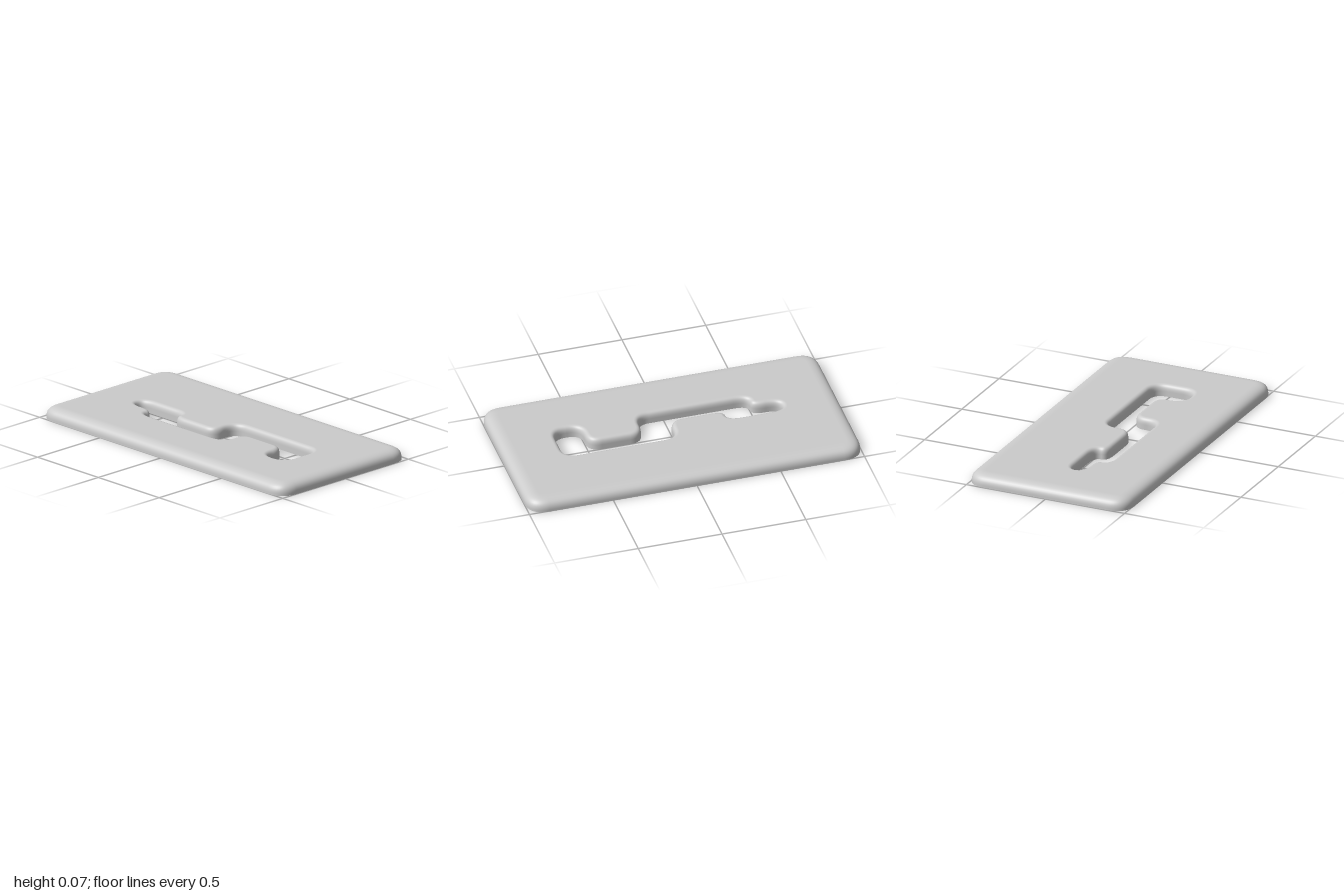
import * as THREE from 'three';

const HEIGHT = 0.07;

// Rounds the corners of a polygon; returns points with unit tangents (plate material lies to the left).
function roundedLoop(corners, trim, steps = 10) {
  const pts = corners.map(([x, z]) => new THREE.Vector2(x, -z));
  const loop = [];
  pts.forEach((p, i) => {
    const prev = pts[(i + pts.length - 1) % pts.length];
    const next = pts[(i + 1) % pts.length];
    const a = p.clone().sub(prev), b = next.clone().sub(p);
    a.setLength(Math.min(trim, a.length() / 2));
    b.setLength(Math.min(trim, b.length() / 2));
    const curve = new THREE.QuadraticBezierCurve(p.clone().sub(a), p, p.clone().add(b));
    for (let k = 0; k <= steps; k++) {
      const t = k / steps;
      loop.push({ pos: curve.getPoint(t), tan: a.clone().lerp(b, t).normalize() });
    }
  });
  return loop;
}

const inset = (loop, d) =>
  loop.map(({ pos, tan }) => new THREE.Vector2(pos.x - tan.y * d, pos.y + tan.x * d));

// Wall standing on the loop, rolling smoothly over into the top face.
function wallGeometry(loop, roll, rollStart) {
  const profile = [[0, 0, 1, 0]]; // inset, height, outward normal, upward normal
  const rows = 10, rise = HEIGHT - rollStart;
  for (let k = 0; k <= rows; k++) {
    const t = k / rows;
    const n = new THREE.Vector2((1 - t) * rise, t * roll).normalize();
    profile.push([roll * t * t, rollStart + rise * (1 - (1 - t) ** 2), n.x, n.y]);
  }
  const pos = [], nor = [], idx = [], count = loop.length;
  for (const [d, h, out, up] of profile) {
    inset(loop, d).forEach((p, i) => {
      const { tan } = loop[i];
      pos.push(p.x, p.y, h);
      nor.push(tan.y * out, -tan.x * out, up);
    });
  }
  for (let j = 0; j < profile.length - 1; j++) {
    for (let i = 0; i < count; i++) {
      const a = j * count + i, b = j * count + (i + 1) % count;
      idx.push(a, b, b + count, a, b + count, a + count);
    }
  }
  const g = new THREE.BufferGeometry();
  g.setAttribute('position', new THREE.Float32BufferAttribute(pos, 3));
  g.setAttribute('normal', new THREE.Float32BufferAttribute(nor, 3));
  g.setIndex(idx);
  return g.rotateX(-Math.PI / 2);
}

export function createModel() {
  const group = new THREE.Group();
  group.name = 'slottedPlate';
  const material = new THREE.MeshStandardMaterial({ color: 0xcccccc, side: THREE.DoubleSide });
  const add = (name, geometry) => {
    const mesh = new THREE.Mesh(geometry, material);
    mesh.name = name;
    group.add(mesh);
  };

  // Corners as [x, z]
  const rim = roundedLoop([[-1, 0.505], [1, 0.505], [1, -0.505], [-1, -0.505]], 0.12);
  const slot = roundedLoop([
    [-0.667, -0.005], [-0.333, -0.005], [-0.333, 0.08], [-0.003, 0.08],
    [-0.003, -0.093], [0.667, -0.093], [0.667, 0.167], [0.497, 0.167],
    [0.497, 0], [0.167, 0], [0.167, 0.167], [-0.5, 0.167],
    [-0.5, 0.08], [-0.667, 0.08],
  ], 0.08);
  const rimRoll = 0.08, slotRoll = 0.03;

  // Flat top with the stepped slot cut through; the underside stays open
  const top = new THREE.Shape(inset(rim, rimRoll));
  top.holes.push(new THREE.Path(inset(slot, slotRoll)));
  add('topFace', new THREE.ShapeGeometry(top).rotateX(-Math.PI / 2).translate(0, HEIGHT, 0));
  add('outerWall', wallGeometry(rim, rimRoll, 0.012));
  add('slotWall', wallGeometry(slot, slotRoll, 0.03));
  return group;
}
